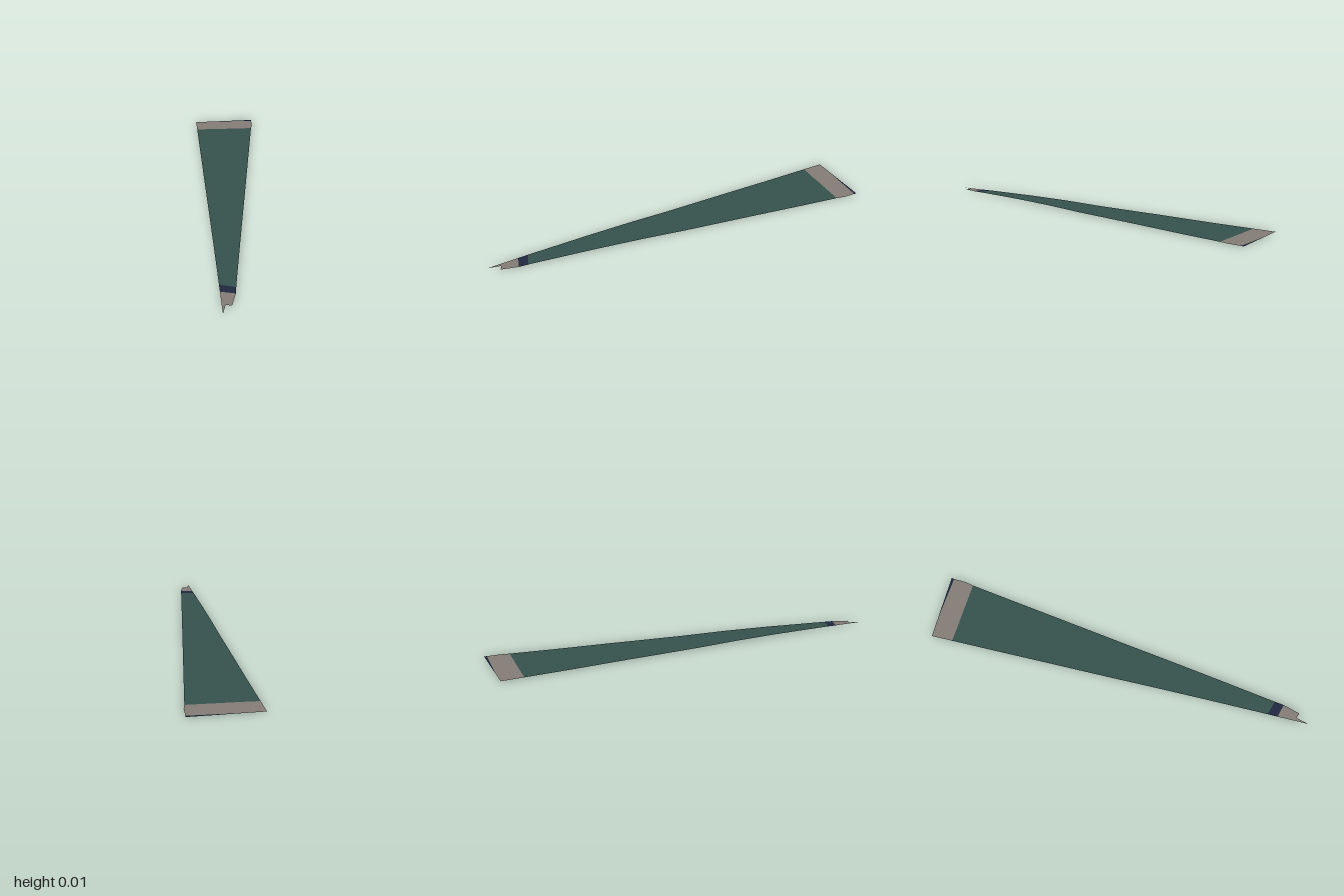
import * as THREE from 'three';

// Gentle lengthwise waviness of the sheet: [z, y]
const WAVE = [[-1, 0.003], [-0.65, 0.003], [-0.37, 0.005], [-0.3, 0.005], [0, 0.006],
  [0.23, 0.01], [0.47, 0.01], [0.75, 0.006], [1, 0]];

function height(z) {
  for (let i = 1; i < WAVE.length; i++) {
    const [z0, y0] = WAVE[i - 1], [z1, y1] = WAVE[i];
    if (z <= z1) return y0 + (y1 - y0) * (z - z0) / (z1 - z0);
  }
  return 0;
}

// Sheet spanned between rows of [leftX, leftZ, rightX, rightZ]
function strip(name, material, rows) {
  const position = [], index = [];
  rows.forEach(([lx, lz, rx, rz], i) => {
    position.push(lx, height(lz), lz, rx, height(rz), rz);
    if (i > 0) {
      const a = 2 * i - 2;
      index.push(a, a + 2, a + 1, a + 1, a + 2, a + 3);
    }
  });
  const geometry = new THREE.BufferGeometry();
  geometry.setAttribute('position', new THREE.Float32BufferAttribute(position, 3));
  geometry.setIndex(index);
  geometry.computeVertexNormals();
  const mesh = new THREE.Mesh(geometry, material);
  mesh.name = name;
  return mesh;
}

function paint(name, color) {
  const material = new THREE.MeshStandardMaterial({ color, side: THREE.DoubleSide });
  material.name = name;
  return material;
}

export function createModel() {
  const green = paint('dark green', 0x35514d);
  const grey = paint('warm grey', 0x847c76);
  const navy = paint('navy', 0x1f2840);
  const L = -0.172;

  const group = new THREE.Group();
  group.name = 'taperedStrip';

  // Long tapering body; the right edge runs straight from wide end to narrow end
  const body = [[L, -0.889, 0.157, -0.876]];
  for (const [z] of WAVE.slice(1, -1)) body.push([L, z, 0.157 - 0.151 * (z + 0.876), z]);
  body.push([L, 0.79, -0.098, 0.815]);

  group.add(
    strip('wideEndEdge', navy, [[-0.06, -1, 0.172, -1], [-0.06, -0.999, 0.17, -0.986]]),
    strip('wideEndBand', grey, [[L, -1, -0.06, -1], [L, -0.889, -0.06, -0.883]]),
    strip('wideEndBandRight', grey, [[-0.06, -0.999, 0.17, -0.986], [-0.06, -0.94, 0.167, -0.92],
      [-0.06, -0.884, 0.157, -0.876]]),
    strip('body', green, body),
    strip('narrowEndBand', navy, [[L, 0.79, -0.098, 0.815], [L, 0.842, -0.104, 0.862]]),
    // Torn narrow tip with a notch and one longer point
    strip('tip', grey, [[L, 0.842, -0.104, 0.862], [-0.155, 0.937, -0.129, 0.947]]),
    strip('tipPoint', grey, [[L, 0.842, L, 0.842], [L, 1, -0.155, 0.937]]),
  );
  return group;
}
